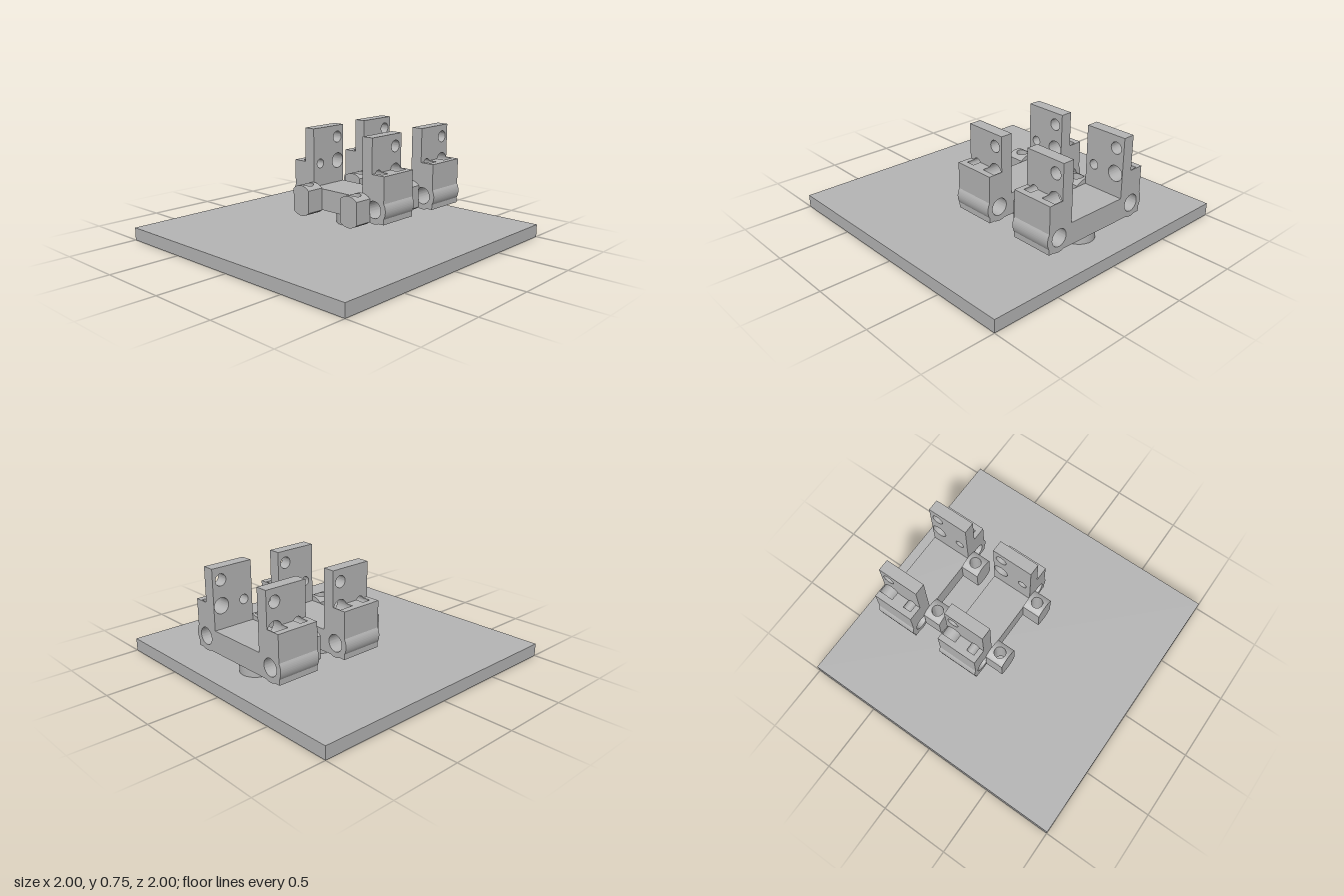
import * as THREE from 'three';
import { toCreasedNormals } from 'three/addons/utils/BufferGeometryUtils.js';

const WIDTH = 0.305;          // bracket size along x
const SEAM = 0.43;            // height where arms continue the base
const LEDGE = 0.51;           // top of the outer shoulder
const BORES = [[0.245, 0.495, 0.055], [0.066, 0.497, 0.033]];

const extrude = (shape, depth) => toCreasedNormals(
  new THREE.ExtrudeGeometry(shape, { depth, bevelEnabled: false, curveSegments: 28 }), 0.5);

function addHole(shape, x, y, r) {
  shape.holes.push(new THREE.Path().absarc(x, y, r, 0, Math.PI * 2, true));
}

// U-shaped base with rounded bosses and a bore through each side
function baseGeometry() {
  const s = new THREE.Shape();
  const cz = 0.335, cy = 0.27, r = 0.1, a = Math.acos(0.9), b = Math.acos(0.85);
  const P = Math.PI;
  s.moveTo(0, 0.18);
  s.absarc(cz, cy, r, -P / 2 - a, -P / 2 + a, false);
  s.lineTo(0.42, 0.18);
  s.absarc(cz, cy, r, -b, b, false);
  for (const [z, y] of [[0.42, SEAM], [0.23, SEAM], [0.23, 0.335], [-0.23, 0.335], [-0.23, SEAM], [-0.42, SEAM]]) s.lineTo(z, y);
  s.absarc(-cz, cy, r, P - b, P + b, false);
  s.lineTo(-0.42, 0.18);
  s.absarc(-cz, cy, r, -P / 2 - a, -P / 2 + a, false);
  s.closePath();
  for (const side of [1, -1]) addHole(s, side * cz, cy, 0.06);
  return extrude(s, WIDTH).rotateY(-Math.PI / 2).translate(WIDTH, 0, 0);
}

function rectangle(y1) {
  const s = new THREE.Shape();
  s.moveTo(0, SEAM);
  s.lineTo(WIDTH, SEAM);
  s.lineTo(WIDTH, y1);
  return s;
}

// Tall plate with three holes
function uprightGeometry() {
  const s = rectangle(0.755);
  s.lineTo(0, 0.755);
  s.closePath();
  for (const [x, y, r] of [...BORES, [0.242, 0.67, 0.041]]) addHole(s, x, y, r);
  return extrude(s, 0.085);
}

// Shoulder whose top is grooved by the two lower bores
function groovedGeometry() {
  const s = rectangle(LEDGE);
  for (const [x, y, r] of BORES) {
    const f = Math.asin((LEDGE - y) / r);
    s.absarc(x, y, r, f, Math.PI - f, true);
  }
  s.lineTo(0, LEDGE);
  s.closePath();
  return extrude(s, 0.06);
}

// Round peg along x with flattened sides and a vertical hole: a closed ring loft
function pegGeometry() {
  const R = 0.11, hx = 0.0675, hz = 0.075, hole = 0.041, per = 10, steps = 8;
  const corners = [[hx, hz], [-hx, hz], [-hx, -hz], [hx, -hz]];
  const rim = [];
  corners.forEach(([x, z], i) => {
    const [nx, nz] = corners[(i + 1) % 4];
    for (let k = 0; k < per; k++) rim.push([x + (nx - x) * k / per, z + (nz - z) * k / per]);
  });
  const pos = [], index = [], n = rim.length, rings = 2 * (steps + 1);
  for (let j = 0; j < rings; j++) {
    const top = j <= steps;
    const t = (top ? j : rings - 1 - j) / steps;
    for (const [x, z] of rim) {
      const k = hole / Math.hypot(x, z) * (1 - t) + t;
      pos.push(x * k, (top ? 1 : -1) * Math.sqrt(R * R - z * z * k * k), z * k);
    }
  }
  for (let j = 0; j < rings; j++) for (let i = 0; i < n; i++) {
    const a = j * n + i, b = j * n + (i + 1) % n;
    const c = ((j + 1) % rings) * n + i, d = ((j + 1) % rings) * n + (i + 1) % n;
    index.push(a, b, c, b, d, c);
  }
  const g = new THREE.BufferGeometry();
  g.setAttribute('position', new THREE.Float32BufferAttribute(pos, 3));
  g.setIndex(index);
  return toCreasedNormals(g, 0.5);
}

export function createModel() {
  const model = new THREE.Group();
  model.name = 'bracketsOnPlate';
  const grey = new THREE.MeshStandardMaterial({ color: 0xb4b4b4 });
  grey.name = 'grey';

  const add = (parent, name, geometry, x, y, z) => {
    const m = new THREE.Mesh(geometry, grey);
    m.name = name;
    m.position.set(x, y, z);
    parent.add(m);
  };

  add(model, 'groundPlate', new THREE.BoxGeometry(2, 0.09, 2), 0, 0.045, 0);

  const base = baseGeometry(), upright = uprightGeometry(), grooved = groovedGeometry();
  const outer = new THREE.BoxGeometry(WIDTH, LEDGE - SEAM, 0.045);
  const peg = pegGeometry();
  const stem = new THREE.CylinderGeometry(0.112, 0.112, 0.1, 40);

  // Two identical brackets side by side
  for (const x of [0, 0.535]) {
    const bracket = new THREE.Group();
    bracket.name = 'bracket';
    bracket.position.x = x;
    model.add(bracket);
    add(bracket, 'base', base, 0, 0, 0);
    add(bracket, 'stem', stem, 0.155, 0.135, 0);
    for (const s of [1, -1]) {
      add(bracket, 'upright', upright, 0, 0, s > 0 ? 0.23 : -0.315);
      add(bracket, 'groovedShoulder', grooved, 0, 0, s > 0 ? 0.315 : -0.375);
      add(bracket, 'outerShoulder', outer, WIDTH / 2, (LEDGE + SEAM) / 2, s * 0.3975);
      add(bracket, 'peg', peg, -0.0675, 0.26, s * 0.225);
    }
  }
  return model;
}
